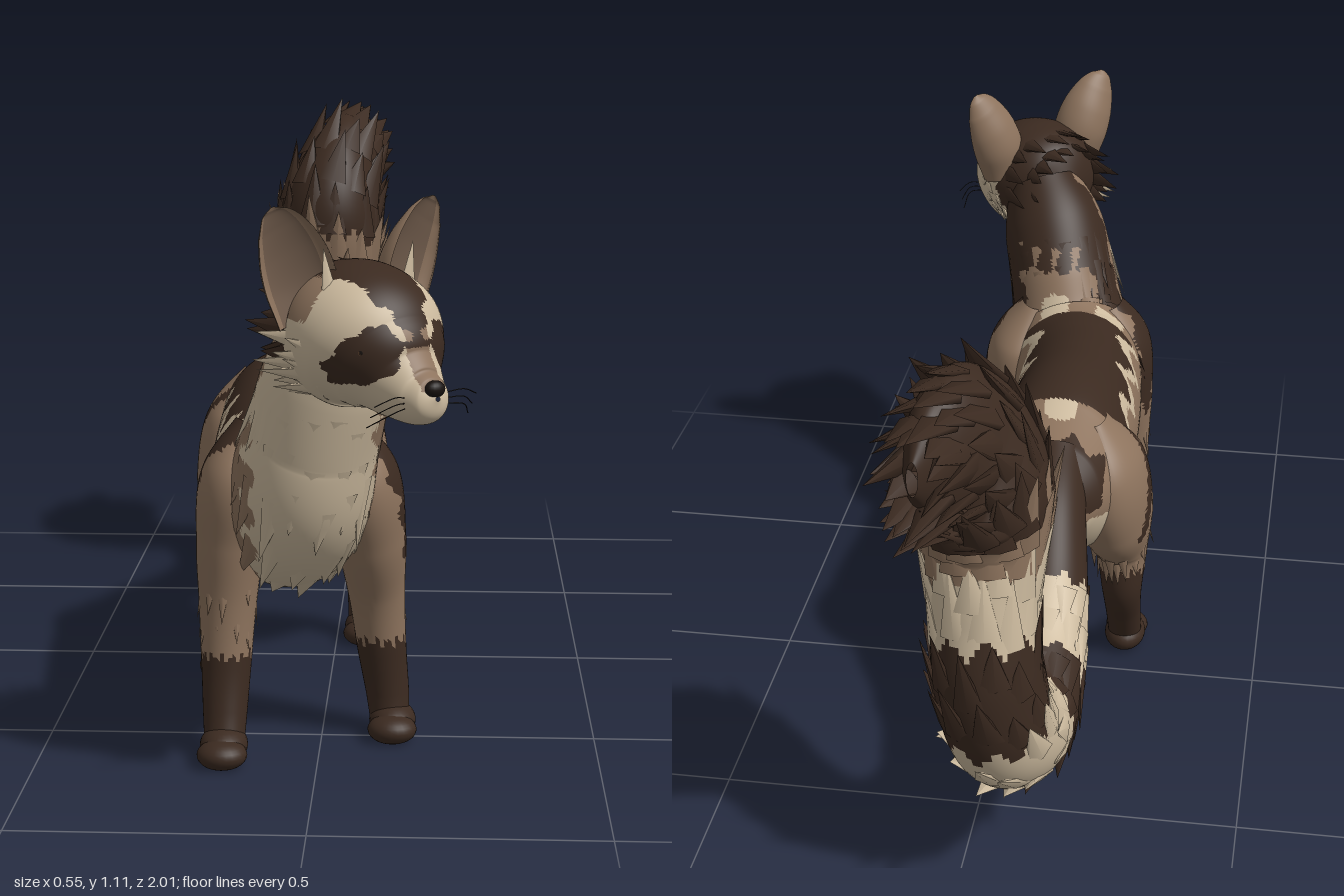
import * as THREE from 'three';
import { mergeGeometries } from 'three/addons/utils/BufferGeometryUtils.js';

const V = (x, y, z) => new THREE.Vector3(x, y, z);
const palette = [['darkFur', 0x3b2a20], ['tanFur', 0x8d735d], ['creamFur', 0xcdbb9f],
  ['innerEar', 0x725d4d], ['black', 0x17110e], ['iris', 0x6a4a30]];
const mats = palette.map(([name, color]) => Object.assign(new THREE.MeshStandardMaterial({ color }), { name }));
const [DARK, TAN, CREAM, INNER, BLACK, IRIS] = [0, 1, 2, 3, 4, 5];

let seed = 7;
const rnd = () => (seed = (seed * 16807) % 2147483647) / 2147483647;
const tri = s => Math.abs((((s % 1) + 1) % 1) - 0.5) * 4 - 1; // zigzag from -1 to 1

// Gives every triangle the material chosen by rule(face)
function groupFaces(geo, faces, rule) {
  const bins = mats.map(() => []);
  faces.forEach(f => bins[rule(f)].push(f[0], f[1], f[2]));
  geo.setIndex(bins.flat());
  let start = 0;
  bins.forEach((b, m) => { if (b.length) geo.addGroup(start, b.length, m); start += b.length; });
}

// Smooth skin over elliptical stations [x, y, z, rx, ry]; paint(p, t, angle) picks the colour
function loft(name, st, paint, nv, nu, dent = 1) {
  const path = new THREE.CatmullRomCurve3(st.map(s => V(s[0], s[1], s[2])));
  const rad = new THREE.CatmullRomCurve3(st.map(s => V(s[3], s[4], 0)), false, 'catmullrom', 0.5);
  const frame = t => {
    const c = path.getPoint(t), T = path.getTangent(t), r = rad.getPoint(t);
    const side = V(1, 0, 0).addScaledVector(T, -T.x).normalize();
    return { c, T, side, up: T.clone().cross(side), rx: Math.max(r.x, 0.001), ry: Math.max(r.y, 0.001) };
  };
  const point = (f, a) => {
    const s = Math.sin(a);
    return f.c.clone().addScaledVector(f.side, Math.cos(a) * f.rx).addScaledVector(f.up, (s < 0 ? s * dent : s) * f.ry);
  };
  const pos = [], faces = [], id = (i, j) => i * nu + (j % nu);
  for (let i = 0; i <= nv; i++) {
    const f = frame(i / nv);
    for (let j = 0; j < nu; j++) pos.push(...point(f, j / nu * Math.PI * 2).toArray());
  }
  for (let i = 0; i < nv; i++) for (let j = 0; j < nu; j++) {
    const t = (i + 0.5) / nv, a = (j + 0.5) / nu * Math.PI * 2;
    faces.push([id(i, j), id(i, j + 1), id(i + 1, j), t, a], [id(i, j + 1), id(i + 1, j + 1), id(i + 1, j), t, a]);
  }
  const geo = new THREE.BufferGeometry();
  geo.setAttribute('position', new THREE.Float32BufferAttribute(pos, 3));
  groupFaces(geo, faces, ([a, b, c, t, ang]) => {
    const mid = k => (pos[a * 3 + k] + pos[b * 3 + k] + pos[c * 3 + k]) / 3;
    return paint(V(mid(0), mid(1), mid(2)), t, ang);
  });
  geo.computeVertexNormals();
  const mesh = new THREE.Mesh(geo, mats);
  mesh.name = name;
  return { mesh, frame, point, paint };
}

// Rings of flat pointed locks on a lofted part, coloured like the skin below
function fur(name, part, { t0, t1, rings, n, len, r, flare, sign = 1, keep = () => true }) {
  const bins = mats.map(() => []), g = new THREE.Group();
  for (let i = 0; i < rings; i++) for (let j = 0; j < n; j++) {
    const t = t0 + (t1 - t0) * (i + rnd() * 0.5) / rings, a = (j + (i % 2) / 2 + rnd() * 0.4) / n * Math.PI * 2;
    const f = part.frame(t), p = part.point(f, a);
    if (!keep(p)) continue;
    const out = p.clone().sub(f.c).normalize(), l = len * (0.7 + 0.6 * rnd());
    const dir = f.T.clone().multiplyScalar(sign).addScaledVector(out, flare).normalize();
    const x = dir.clone().cross(out).normalize(), z = x.clone().cross(dir);
    const cone = new THREE.ConeGeometry(r, l, 6, 1, true).translate(0, l * 0.4, 0).scale(1, 1, 0.35);
    cone.applyMatrix4(new THREE.Matrix4().makeBasis(x, dir, z).setPosition(p.clone().addScaledVector(out, -0.008)));
    bins[part.paint(p, t, a)].push(cone);
  }
  bins.forEach((b, m) => { if (b.length) g.add(new THREE.Mesh(mergeGeometries(b), mats[m])); });
  g.name = name;
  return g;
}

// Coat pattern shared by torso, neck and upper legs
function coat(p, leg = false) {
  const { x, y, z } = p, wob = 0.012 * tri(y * 14) + 0.008 * tri(x * 23);
  const d = 0.58 + 0.34 * (y - 0.35) - z + wob;
  if (!leg && d < 0 && z > 0.5 && Math.abs(x + 0.005) < 0.112 + wob) return CREAM;
  if (!leg && y < 0.34 + 0.015 * tri(z * 9) + (z < 0.08 ? 0.04 : 0)) return CREAM;
  if (!leg && z < -0.1 && y < 0.47 + wob) return CREAM;
  if (y > 0.69 + 2 * wob && d > 0.03) return DARK;
  if (d > 0.045 && d < 0.135 && y > 0.36 + 0.04 * tri(z * 16) && z > 0.42 && Math.abs(x + 0.02) > 0.035) return DARK;
  if (z < -0.1 + 0.02 * tri(x * 16) && y > 0.48 && Math.abs(x + 0.09) < 0.1) return DARK;
  const edge = 0.545 + 0.03 * tri(z * 7.5) + 0.008 * tri(z * 19);
  if (!leg && z > 0 && z < 0.5) {
    if (z > 0.46) return y > 0.52 && Math.abs(Math.abs(x + 0.07) - 0.06) < 0.03 ? CREAM : TAN;
    if (y > edge + 0.018) return DARK;
    if (y > edge - 0.016 && z > 0.03) return CREAM;
  }
  if (!leg && Math.hypot(x + 0.09, z + 0.02) < 0.035 && y > 0.55) return CREAM;
  return TAN;
}

function makeLeg(name, st, cut, hind, paw) {
  const g = new THREE.Group();
  g.name = name;
  const paint = (p, t, a) => {
    if (p.y < cut + 0.012 * tri(a * 2.4)) return DARK;
    const s = p.z - 0.44 * (p.y - 0.4) - (paw[0] < 0 ? 0.06 : 0);
    if (hind && p.y > 0.34 && p.y < 0.57 && Math.abs(s + 0.075) < 0.026 - Math.abs(p.y - 0.45) * 0.12) return DARK;
    return coat(p, true);
  };
  const leg = loft('limb', st, paint, 80, 40);
  g.add(leg.mesh, fur('elbowFur', leg, { t0: 0.42, t1: 0.56, rings: 2, n: 9, len: 0.06, r: 0.014, flare: 0.12, keep: p => p.z < paw[1] }));
  // Paw: heel and toe mass, flattened on the ground
  const blobs = [[0.028, -0.008, 0.043, 0.034, 0.058], [0.022, 0.03, 0.045, 0.027, 0.042]];
  const geo = mergeGeometries(blobs.map(([y, z, a, b, c]) => new THREE.SphereGeometry(1, 24, 16).scale(a, b, c).translate(0, y, z)));
  const q = geo.attributes.position;
  for (let i = 0; i < q.count; i++) q.setY(i, Math.max(0, q.getY(i)));
  const foot = new THREE.Mesh(geo, mats[DARK]);
  foot.name = 'paw';
  foot.position.set(paw[0], 0, paw[1]);
  g.add(foot);
  return g;
}

function makeHead() {
  const head = new THREE.Group();
  head.name = 'head';
  const facePaint = p => {
    const ax = Math.abs(p.x), w = 0.008 * tri(p.y * 30) + 0.006 * tri(p.x * 40);
    if (p.z < -0.035 + w) return p.y > -0.055 + 2 * w ? DARK : CREAM;
    // Eye mask, drooping towards the cheek
    if (((ax - 0.074) / 0.044) ** 2 + ((p.y + 0.016 + 0.35 * (ax - 0.07)) / 0.044) ** 2 < 1 + w * 14 && p.z > 0.03) return DARK;
    if (p.y > -0.005 && ax < 0.016 + 0.6 * Math.max(0, p.y - 0.015) + w) return DARK;
    if (ax < 0.024 && p.y > -0.07 && p.z > 0.07) return TAN;
    if (p.z < 0.03 && p.y > 0.03) return TAN;
    return CREAM;
  };
  const skull = loft('skull', [[0, 0, -0.135, 0.01, 0.01], [0, 0, -0.1, 0.085, 0.085], [0, 0, -0.03, 0.128, 0.12],
    [0, -0.012, 0.04, 0.13, 0.12], [0, -0.04, 0.09, 0.103, 0.095], [0, -0.068, 0.13, 0.068, 0.066],
    [0, -0.084, 0.17, 0.047, 0.048], [0, -0.084, 0.198, 0.032, 0.033], [0, -0.082, 0.21, 0.004, 0.004]], facePaint, 110, 96);
  head.add(skull.mesh);
  head.add(fur('cheekFur', skull, { t0: 0.26, t1: 0.42, rings: 3, n: 22, len: 0.085, r: 0.018, flare: 0.4, sign: -1, keep: p => p.y < 0 && Math.abs(p.x) > 0.07 }));
  head.add(fur('napeFur', skull, { t0: 0.13, t1: 0.26, rings: 2, n: 16, len: 0.09, r: 0.024, flare: 0.15, sign: -1, keep: p => p.y > -0.06 }));
  for (const s of [-1, 1]) {
    // Cupped ear
    const earPaint = (p, t, a) => (Math.sin(a) < 0 && Math.abs(Math.cos(a)) < 0.76 && t < 0.88 ? INNER : TAN);
    const ear = loft(s > 0 ? 'leftEar' : 'rightEar', [[0, -0.03, 0, 0.05, 0.045], [0, 0.03, 0, 0.062, 0.058], [s * 0.008, 0.085, 0, 0.059, 0.05],
      [s * 0.02, 0.135, 0, 0.043, 0.03], [s * 0.028, 0.163, 0, 0.023, 0.014], [s * 0.03, 0.174, 0, 0.003, 0.003]], earPaint, 40, 36, -0.5);
    ear.mesh.position.set(s * 0.105, 0.05, 0);
    ear.mesh.rotation.set(0.06, s * 0.25, -s * 0.2);
    head.add(ear.mesh);
    const tuft = new THREE.Mesh(new THREE.ConeGeometry(0.02, 0.1, 6).scale(1, 1, 0.4).rotateZ(-s * 0.15), mats[CREAM]);
    tuft.name = 'earTuft';
    tuft.position.set(s * 0.085, 0.1, 0.03);
    head.add(tuft);
    // Eye: pupil, iris ring and dark rim around the outward pole
    const geo = new THREE.SphereGeometry(0.022, 28, 24), ix = geo.index.array, faces = [], q = geo.attributes.position;
    for (let i = 0; i < ix.length; i += 3) faces.push([ix[i], ix[i + 1], ix[i + 2]]);
    groupFaces(geo, faces, f => {
      const h = f.reduce((k, v) => k + q.getY(v), 0) / 0.066;
      return h > 0.9 || h < 0.66 ? BLACK : IRIS;
    });
    const eye = new THREE.Mesh(geo, mats);
    eye.name = 'eye';
    eye.quaternion.setFromUnitVectors(V(0, 1, 0), V(s * 0.5, 0.2, 0.84).normalize());
    eye.position.set(s * 0.07, -0.013, 0.107);
    head.add(eye);
    const line = (name, pts, r) => head.add(Object.assign(new THREE.Mesh(
      new THREE.TubeGeometry(new THREE.CatmullRomCurve3(pts), 12, r, 5), mats[BLACK]), { name }));
    line('mouth', [V(0, -0.1, 0.203), V(s * 0.018, -0.108, 0.19), V(s * 0.036, -0.105, 0.174)], 0.002);
    for (let k = 0; k < 3; k++)
      line('whisker', [V(s * 0.036, -0.082 - k * 0.008, 0.175), V(s * 0.07, -0.076 - k * 0.012, 0.188), V(s * 0.105, -0.088 - k * 0.018, 0.18 - k * 0.01)], 0.0009);
  }
  const nose = new THREE.Mesh(new THREE.SphereGeometry(1, 18, 12).scale(0.019, 0.014, 0.013), mats[BLACK]);
  nose.name = 'nose';
  nose.position.set(0, -0.067, 0.202);
  head.add(nose);
  head.position.set(0.075, 0.8, 0.797);
  head.rotation.y = 0.69;
  return head;
}

export function createModel() {
  seed = 7;
  const model = new THREE.Group();
  model.name = 'stripedAnimal';
  // Torso and neck
  const body = loft('body', [[-0.09, 0.53, -0.21, 0.03, 0.04], [-0.09, 0.505, -0.15, 0.098, 0.1], [-0.085, 0.475, -0.04, 0.145, 0.16],
    [-0.085, 0.465, 0.1, 0.14, 0.185], [-0.085, 0.45, 0.25, 0.137, 0.183], [-0.075, 0.445, 0.4, 0.137, 0.172], [-0.055, 0.455, 0.51, 0.142, 0.165],
    [-0.03, 0.505, 0.602, 0.13, 0.162], [-0.005, 0.61, 0.65, 0.118, 0.143], [0.025, 0.72, 0.697, 0.11, 0.12], [0.055, 0.8, 0.74, 0.08, 0.09]],
  p => coat(p), 150, 96);
  model.add(body.mesh);
  model.add(fur('neckFur', body, { t0: 0.62, t1: 0.9, rings: 5, n: 18, len: 0.11, r: 0.026, flare: 0.17, sign: -1, keep: p => p.z > 0.5 }));
  model.add(makeHead());
  // Legs
  model.add(makeLeg('leftFrontLeg', [[0.04, 0.6, 0.53, 0.03, 0.04], [0.07, 0.5, 0.53, 0.07, 0.1], [0.09, 0.38, 0.51, 0.064, 0.083], [0.1, 0.27, 0.485, 0.052, 0.058],
    [0.11, 0.16, 0.475, 0.045, 0.046], [0.12, 0.08, 0.473, 0.04, 0.04], [0.125, 0.025, 0.48, 0.036, 0.036]], 0.185, false, [0.13, 0.495]));
  model.add(makeLeg('rightFrontLeg', [[-0.12, 0.6, 0.55, 0.03, 0.04], [-0.145, 0.5, 0.56, 0.068, 0.1], [-0.16, 0.38, 0.565, 0.062, 0.083], [-0.165, 0.27, 0.575, 0.052, 0.058],
    [-0.167, 0.16, 0.59, 0.045, 0.046], [-0.168, 0.08, 0.61, 0.04, 0.04], [-0.168, 0.025, 0.63, 0.036, 0.036]], 0.185, false, [-0.168, 0.648]));
  model.add(makeLeg('leftHindLeg', [[-0.01, 0.6, -0.02, 0.02, 0.04], [0.018, 0.5, -0.03, 0.07, 0.115], [0.038, 0.38, -0.045, 0.073, 0.12], [0.05, 0.28, -0.1, 0.055, 0.075],
    [0.056, 0.19, -0.153, 0.042, 0.043], [0.058, 0.11, -0.147, 0.037, 0.035], [0.06, 0.03, -0.13, 0.035, 0.034]], 0.245, true, [0.06, -0.118]));
  model.add(makeLeg('rightHindLeg', [[-0.16, 0.6, 0.0, 0.02, 0.04], [-0.185, 0.5, 0.0, 0.072, 0.12], [-0.2, 0.38, 0.025, 0.077, 0.12], [-0.212, 0.28, 0.045, 0.055, 0.075],
    [-0.216, 0.19, 0.032, 0.042, 0.044], [-0.217, 0.11, 0.067, 0.037, 0.036], [-0.218, 0.03, 0.105, 0.035, 0.034]], 0.245, true, [-0.218, 0.117]));
  // Bushy ringed tail ending in a tall, narrow fan
  const bands = [[2.0, DARK], [3.0, CREAM], [3.9, DARK], [5.4, CREAM], [6.65, DARK], [7.5, CREAM], [8.5, TAN], [99, DARK]];
  const tail = loft('tail', [[-0.09, 0.555, -0.09, 0.06, 0.06], [-0.1, 0.49, -0.2, 0.065, 0.075], [-0.11, 0.385, -0.32, 0.075, 0.085], [-0.11, 0.295, -0.45, 0.088, 0.097],
    [-0.1, 0.265, -0.58, 0.095, 0.103], [-0.08, 0.335, -0.695, 0.1, 0.112], [-0.06, 0.46, -0.735, 0.098, 0.108], [-0.05, 0.6, -0.715, 0.098, 0.108],
    [-0.045, 0.73, -0.685, 0.115, 0.132], [-0.04, 0.84, -0.695, 0.118, 0.162], [-0.015, 0.92, -0.755, 0.086, 0.15], [0.015, 0.945, -0.845, 0.05, 0.11], [0.03, 0.95, -0.915, 0.01, 0.03]],
  (p, t, a) => bands.find(b => t * 12 + 0.13 * tri(a * 1.43) < b[0])[1], 140, 64);
  model.add(tail.mesh);
  model.add(fur('tailFur', tail, { t0: 0.16, t1: 0.6, rings: 9, n: 12, len: 0.12, r: 0.034, flare: 0.17 }));
  model.add(fur('tailFlare', tail, { t0: 0.6, t1: 0.71, rings: 3, n: 13, len: 0.13, r: 0.036, flare: 0.28 }));
  model.add(fur('tailTuft', tail, { t0: 0.71, t1: 0.97, rings: 6, n: 13, len: 0.12, r: 0.036, flare: 0.1 }));
  return model;
}
